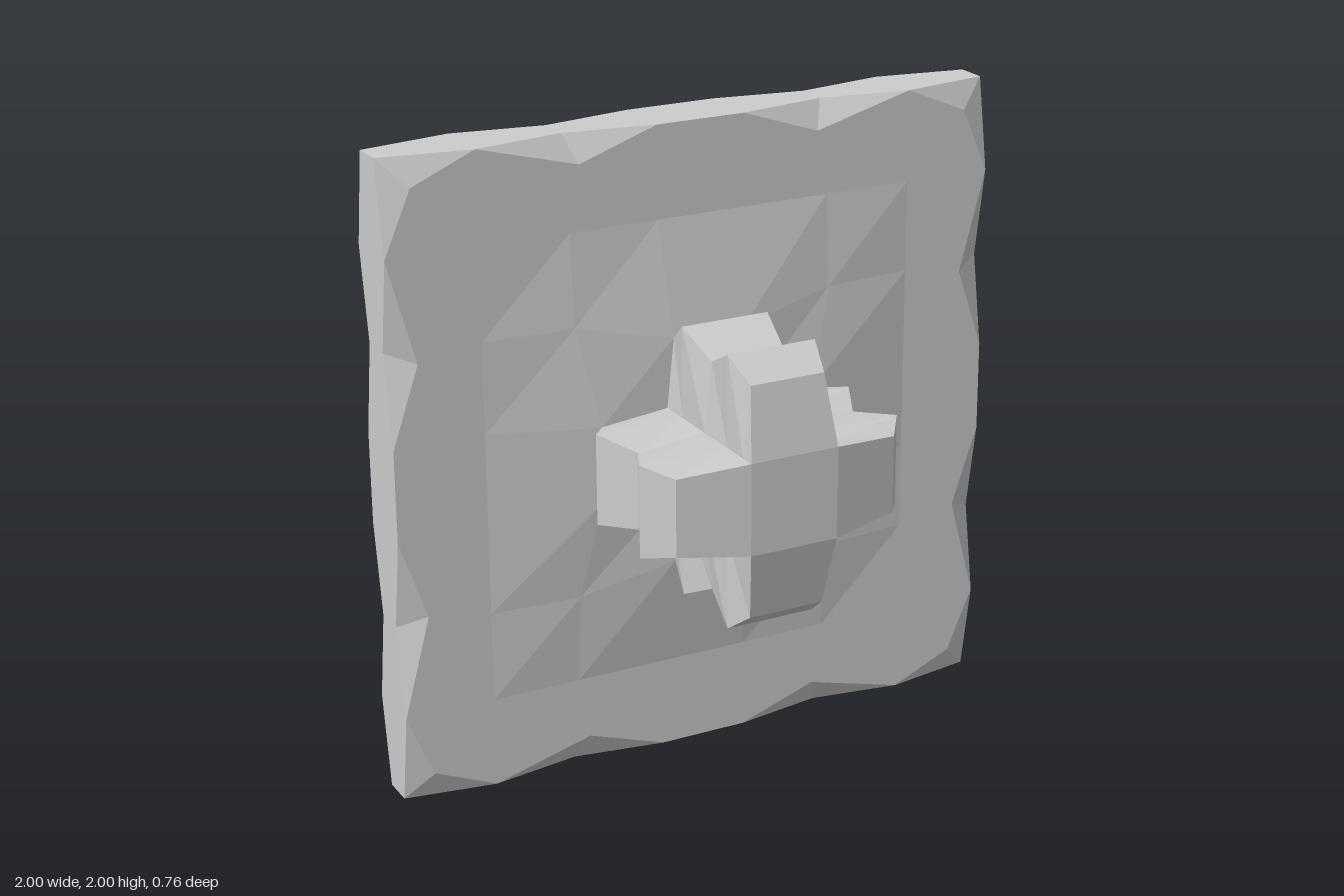
import * as THREE from 'three';

const CELL = 2 / 7;            // the panel is laid out on a 7 x 7 grid
const MID = -0.285;            // middle plane of the panel
const HALF = 0.097;            // half thickness of the panel
const RIM = 0.05;              // half thickness of the flat outer rim
const CY = 1;                  // height of the panel's centre

// Collects flat triangles, skipping empty ones
class Faces {
  constructor() { this.pos = []; }
  tri(a, b, c) {
    const area = new THREE.Triangle(a, b, c).getArea();
    if (area > 1e-7) for (const p of [a, b, c]) this.pos.push(p.x, p.y + CY, p.z);
  }
  quad(a, b, c, d, flip = false) {
    if (flip) [b, d] = [d, b];
    this.tri(a, b, c);
    this.tri(a, c, d);
  }
  mesh(name, material) {
    const g = new THREE.BufferGeometry();
    g.setAttribute('position', new THREE.Float32BufferAttribute(this.pos, 3));
    g.computeVertexNormals();
    const m = new THREE.Mesh(g, material);
    m.name = name;
    return m;
  }
}

const V = (x, y, z) => new THREE.Vector3(x, y, z);
const AXIS = V(0, 0, 1);
const turn = (p, k) => p.clone().applyAxisAngle(AXIS, k * Math.PI / 2);
const at = i => (i - 3.5) * CELL;
const isNotch = i => i === 0 || i === 2 || i === 5 || i === 7;

// Grid corner of a panel face: chipped at the border, swollen at the front centre
function facePoint(i, j, side) {
  let x = at(i), y = at(j), lift = 0;
  const edgeX = i === 0 || i === 7, edgeY = j === 0 || j === 7;
  if (edgeX && isNotch(j)) { x *= 0.914; if (!edgeY) y *= 0.92; }
  if (edgeY && isNotch(i)) { y *= 0.914; if (!edgeX) x *= 0.92; }
  const ax = Math.abs(i - 3.5), ay = Math.abs(j - 3.5);
  if (side > 0 && ax < 2 && ay < 2) {
    lift = ax > 1 && ay > 1 ? 0.02 : 0.05;
    if (ax > 1 && ay < 1) { x *= 0.84; y *= 0.84; }
    if (ay > 1 && ax < 1) { x *= 0.84; y *= 0.84; }
  }
  return V(x, y, MID + side * (HALF + lift));
}

// One broad face of the panel with its chipped border
function buildFace(side, material) {
  const f = new Faces(), flip = side < 0;
  for (let i = 0; i < 7; i++) for (let j = 0; j < 7; j++) {
    if (side < 0 && i > 1 && i < 5 && j > 1 && j < 5) continue;   // opening for the recess
    f.quad(facePoint(i, j, side), facePoint(i + 1, j, side),
      facePoint(i + 1, j + 1, side), facePoint(i, j + 1, side), flip);
  }
  for (let k = 0; k < 4; k++) for (let i = 0; i < 7; i++) {
    const rim = n => turn(V(at(n), -1, MID + side * RIM), k);
    const top = n => turn(facePoint(n, 0, side), k);
    const q = [rim(i), rim(i + 1), top(i + 1), top(i)];
    // the fold always ends at the chipped corner
    if (isNotch(i)) q.push(q.shift());
    f.quad(q[1], q[2], q[3], q[0], flip);
  }
  return f.mesh(side > 0 ? 'panelFront' : 'panelBack', material);
}

// Flat band around the panel
function buildRim(material) {
  const f = new Faces(), a = MID - RIM, b = MID + RIM;
  for (let k = 0; k < 4; k++) {
    f.quad(...[V(-1, -1, a), V(1, -1, a), V(1, -1, b), V(-1, -1, b)].map(p => turn(p, k)));
  }
  return f.mesh('panelRim', material);
}

// Shallow square pocket in the back
function buildRecess(material) {
  const f = new Faces(), r = 1.5 * CELL, z0 = MID - HALF, z1 = z0 + 0.048;
  f.quad(V(-r, -r, z1), V(-r, r, z1), V(r, r, z1), V(r, -r, z1));
  for (let k = 0; k < 4; k++) {
    f.quad(...[V(-r, -r, z0), V(-r, -r, z1), V(r, -r, z1), V(r, -r, z0)].map(p => turn(p, k)));
  }
  return f.mesh('backRecess', material);
}

// Cross-shaped knob: four ridged arms around a square core
function buildKnob(material) {
  const group = new THREE.Group();
  group.name = 'crossKnob';
  const c = CELL / 2;
  // z, reach and half width of each section
  const sections = [
    [-0.19, 0.36, 0.12], [-0.137, 0.36, 0.12], [-0.04, 0.428, c], [0.1, 0.36, 0.12],
    [0.24, 0.428, c], [0.335, 0.36, 0.12], [0.382, c, c],
  ];
  const outline = ([z, r, w]) => [V(c, c, z), V(w, r, z), V(-w, r, z), V(-c, c, z)];
  for (let k = 0; k < 4; k++) {
    const f = new Faces();
    for (let s = 0; s < sections.length - 1; s++) {
      const a = outline(sections[s]).map(p => turn(p, k));
      const b = outline(sections[s + 1]).map(p => turn(p, k));
      for (let n = 0; n < 3; n++) f.quad(a[n], a[n + 1], b[n + 1], b[n]);
    }
    group.add(f.mesh('knobArm', material));
  }
  const cap = new Faces(), z = 0.382;
  cap.quad(V(-c, -c, z), V(c, -c, z), V(c, c, z), V(-c, c, z));
  group.add(cap.mesh('knobCap', material));
  return group;
}

export function createModel() {
  const grey = new THREE.MeshStandardMaterial({ color: 0xcccccc });
  grey.name = 'light grey';
  const model = new THREE.Group();
  model.name = 'panelWithCrossKnob';
  model.add(buildFace(1, grey), buildFace(-1, grey), buildRim(grey), buildRecess(grey), buildKnob(grey));
  return model;
}
